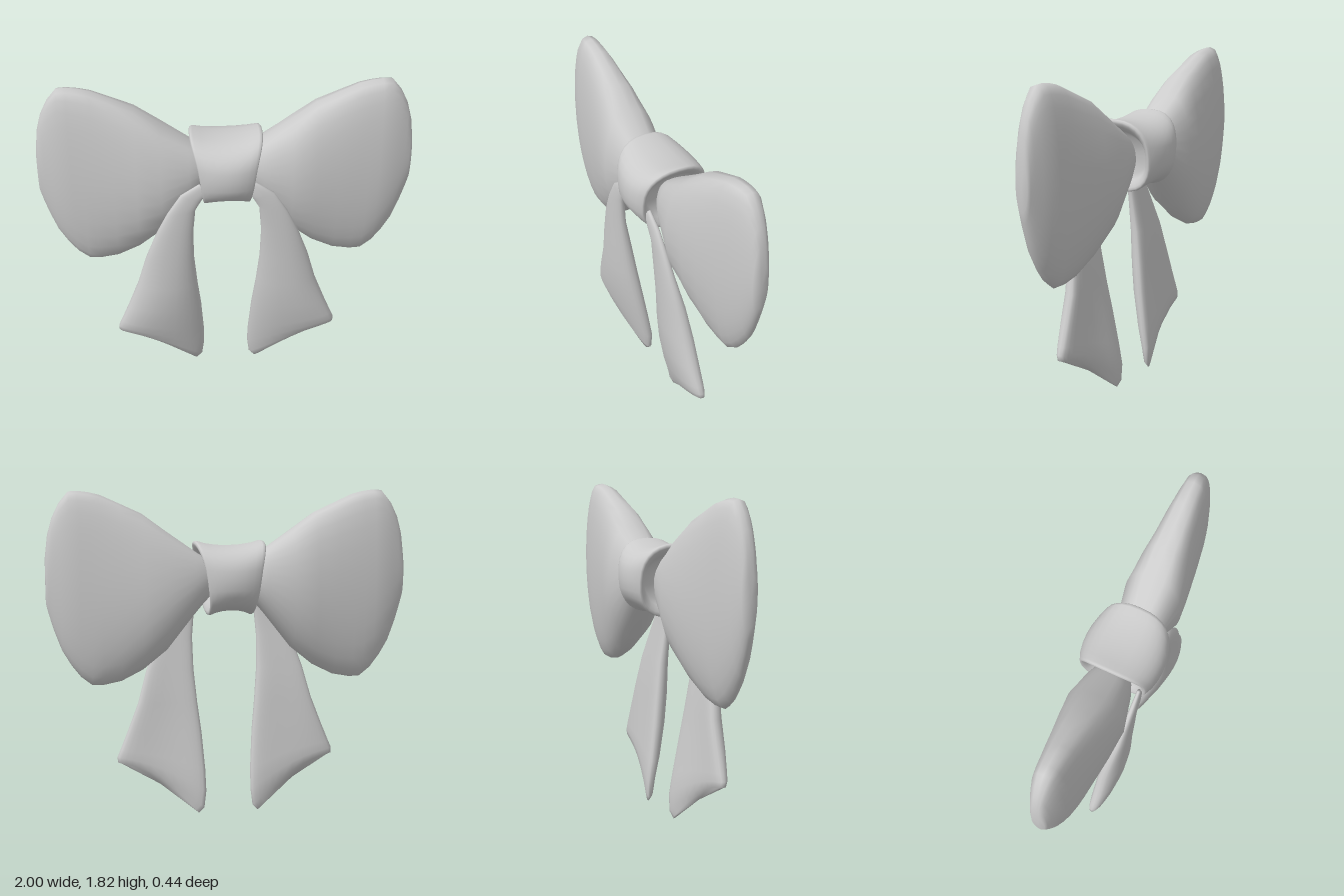
import * as THREE from 'three';

const SEG = 28;
const material = new THREE.MeshStandardMaterial({ color: 0xcccccc });

// Signed power: below 1 it makes a round section fuller
const full = (v, power) => Math.sign(v) * Math.abs(v) ** power;

// Skin a run of cross-sections; point(row, angle) gives [x, y, z]. side = -1 mirrors in x.
function loft(name, rows, point, side = 1) {
  const pos = [], index = [];
  const tri = (a, b, c) => (side > 0 ? index.push(a, b, c) : index.push(a, c, b));
  rows.forEach((row) => {
    for (let j = 0; j < SEG; j++) {
      const [x, y, z] = point(row, (j / SEG) * Math.PI * 2);
      pos.push(x * side, y, z);
    }
  });
  for (let i = 0; i < rows.length - 1; i++) {
    for (let j = 0; j < SEG; j++) {
      const a = i * SEG + j, b = i * SEG + ((j + 1) % SEG);
      tri(a, b, a + SEG);
      tri(b, b + SEG, a + SEG);
    }
  }
  // close both ends with a fan round the middle of the section
  for (const [start, end] of [[0, false], [(rows.length - 1) * SEG, true]]) {
    const c = [0, 0, 0];
    for (let j = 0; j < SEG; j++) for (let k = 0; k < 3; k++) c[k] += pos[(start + j) * 3 + k] / SEG;
    const centre = pos.length / 3;
    pos.push(...c);
    for (let j = 0; j < SEG; j++) {
      const a = start + j, b = start + ((j + 1) % SEG);
      if (end) tri(centre, a, b);
      else tri(centre, b, a);
    }
  }
  const geometry = new THREE.BufferGeometry();
  geometry.setAttribute('position', new THREE.Float32BufferAttribute(pos, 3));
  geometry.setIndex(index);
  geometry.computeVertexNormals();
  const mesh = new THREE.Mesh(geometry, material);
  mesh.name = name;
  return mesh;
}

// Puffed loop: x, bottom y, top y, half thickness (fuller above than below)
const loopRows = [
  [0.09, 1.26, 1.42, 0.07], [0.14, 1.21, 1.46, 0.105], [0.2, 1.14, 1.5, 0.13],
  [0.35, 0.95, 1.605, 0.165], [0.48, 0.845, 1.7, 0.15], [0.6, 0.785, 1.755, 0.132],
  [0.7, 0.766, 1.8, 0.118], [0.76, 0.768, 1.815, 0.108], [0.82, 0.815, 1.823, 0.1],
  [0.87, 0.88, 1.82, 0.09], [0.92, 0.965, 1.76, 0.073], [0.96, 1.075, 1.68, 0.056],
  [0.985, 1.16, 1.59, 0.045], [1.0, 1.22, 1.47, 0.035],
];
const loopPoint = ([x, bottom, top, w], a) => [
  x,
  (top + bottom) / 2 + ((top - bottom) / 2) * Math.cos(a),
  w * full(Math.sin(a), 0.85 - 0.15 * Math.cos(a)),
];

// Tail: inner x, y, z, outer x, y, z, forward arch, half thickness, notch
const tailRows = [
  [0.11, 1.25, 0.15, 0.15, 1.31, 0.15, 0, 0.012, 0],
  [0.14, 1.21, 0.152, 0.25, 1.245, 0.152, 0.002, 0.018, 0],
  [0.172, 1.15, 0.145, 0.325, 1.125, 0.145, 0.004, 0.023, 0],
  [0.185, 1.0, 0.135, 0.385, 1.0, 0.135, 0.008, 0.031, 0],
  [0.182, 0.82, 0.11, 0.45, 0.82, 0.11, 0.015, 0.046, 0],
  [0.165, 0.63, 0.085, 0.5, 0.64, 0.09, 0.028, 0.055, 0],
  [0.145, 0.46, 0.06, 0.56, 0.485, 0.085, 0.03, 0.058, 0],
  [0.13, 0.25, 0.025, 0.605, 0.375, 0.08, 0.03, 0.054, 0.02],
  [0.128, 0.13, 0.003, 0.622, 0.335, 0.078, 0.03, 0.048, 0.035],
  [0.14, 0.035, 0, 0.622, 0.305, 0.075, 0.028, 0.038, 0.05],
  [0.17, 0.004, 0.003, 0.6, 0.295, 0.075, 0.026, 0.022, 0.05],
];
const tailPoint = ([ix, iy, iz, ox, oy, oz, arch, th, notch], a) => {
  const s = full(Math.cos(a), 0.85), t = (1 + s) / 2, mid = 1 - s * s;
  return [
    ix + (ox - ix) * t,
    iy + (oy - iy) * t + notch * mid,
    iz + (oz - iz) * t + arch * mid + th * full(Math.sin(a), 0.75),
  ];
};

// Knot: fraction of half width, flare at the rim, scale (below 1 turns the rim inward)
const rim = [
  [0.6, 0, 0.62], [0.82, 0.5, 0.74], [0.93, 0.8, 0.83], [0.99, 0.9, 0.9], [1, 0.95, 0.95],
  [0.97, 1, 0.985], [0.9, 0.95, 1], [0.7, 0.5, 1], [0.35, 0.12, 1],
];
const knotRows = [
  ...rim.map(([u, flare, scale]) => [-u, flare, scale]),
  [0, 0, 1],
  ...rim.slice().reverse(),
];
const knotPoint = ([u, flare, scale], a) => {
  const c = Math.cos(a), s = Math.sin(a);
  const halfWidth = 0.147 + 0.035 * c + 0.013 * c * c;
  return [
    u * halfWidth,
    1.345 + (0.178 + 0.027 * flare) * scale * full(c, 0.82),
    (0.222 - 0.03 * flare) * scale * full(s, 0.82),
  ];
};

export function createModel() {
  const bow = new THREE.Group();
  bow.name = 'bow';
  for (const [label, side] of [['left', 1], ['right', -1]]) {
    bow.add(loft(label + 'Loop', loopRows, loopPoint, side));
    bow.add(loft(label + 'Tail', tailRows, tailPoint, side));
  }
  bow.add(loft('knot', knotRows, knotPoint));
  return bow;
}
